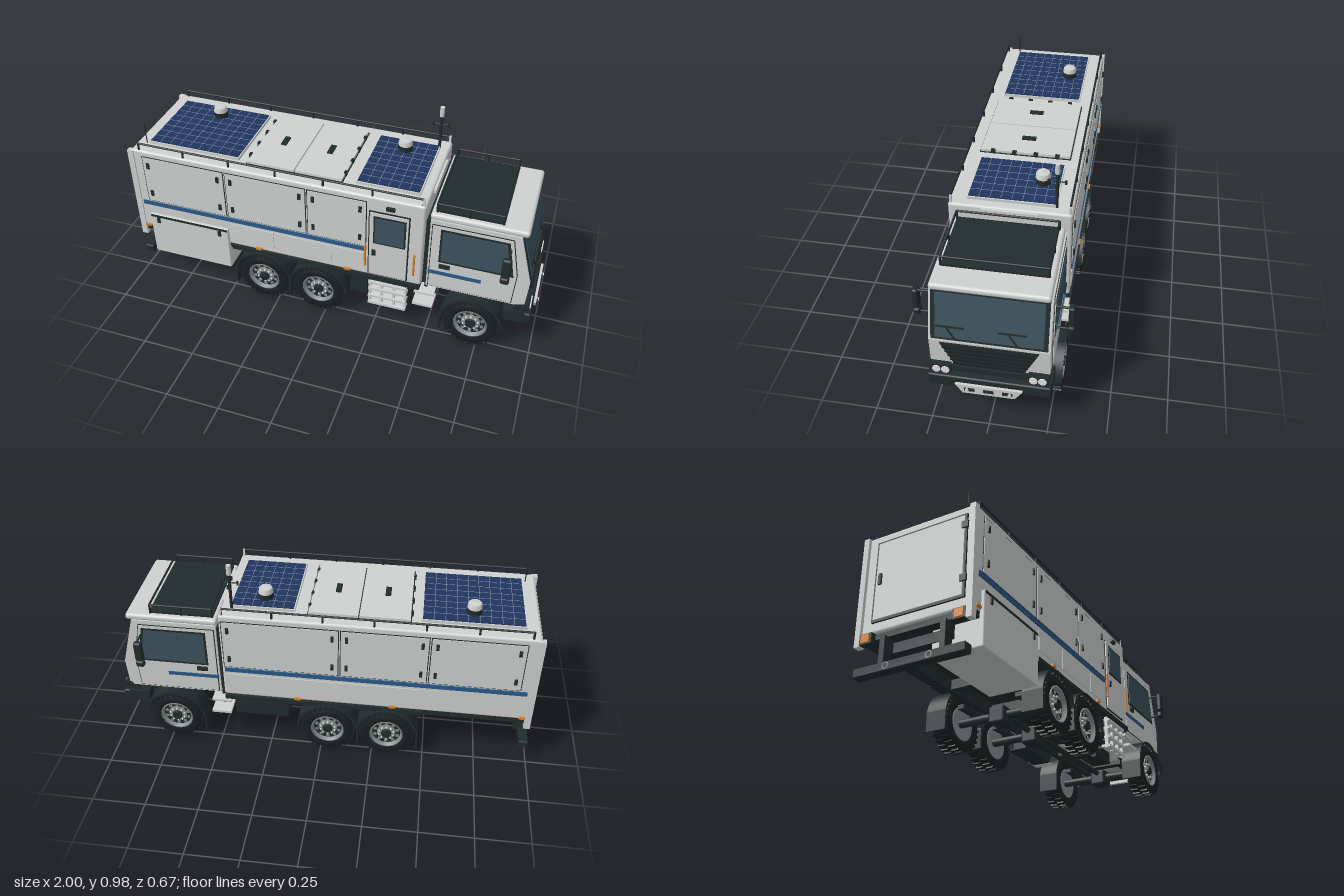
import * as THREE from 'three';
import { mergeGeometries } from 'three/addons/utils/BufferGeometryUtils.js';
import { RoundedBoxGeometry } from 'three/addons/geometries/RoundedBoxGeometry.js';

const mat = (name, color) => Object.assign(new THREE.MeshStandardMaterial({ color }), { name });
const M = {
  paint: mat('light grey paint', 0xcfd1d1), dark: mat('dark trim', 0x222c2c), tyre: mat('tyre rubber', 0x1a2020),
  stripe: mat('blue stripe', 0x2a5a88), solar: mat('solar cell blue', 0x20345f), line: mat('cell line grey', 0x8b95a8),
  glass: mat('tinted glass', 0x3c525e), metal: mat('wheel metal', 0x858c8c), amber: mat('amber', 0xd9822b), lens: mat('lamp white', 0xeeeeee),
};

export function createModel() {
  const root = new THREE.Group();
  root.name = 'expeditionTruck';
  const add = (name, geo, m, parent = root) => {
    const mesh = new THREE.Mesh(geo, m);
    mesh.name = name;
    parent.add(mesh);
    return mesh;
  };
  // boxes are given by their limits on each axis
  const boxGeo = (x0, x1, y0, y1, z0, z1) =>
    new THREE.BoxGeometry(x1 - x0, y1 - y0, z1 - z0).translate((x0 + x1) / 2, (y0 + y1) / 2, (z0 + z1) / 2);
  const box = (name, m, x0, x1, y0, y1, z0, z1, p) => add(name, boxGeo(x0, x1, y0, y1, z0, z1), m, p);
  const rbox = (name, m, x0, x1, y0, y1, z0, z1, r) => add(name, new RoundedBoxGeometry(x1 - x0, y1 - y0, z1 - z0, 2, r)
    .translate((x0 + x1) / 2, (y0 + y1) / 2, (z0 + z1) / 2), m);
  const sideBox = (name, m, s, x0, x1, y0, y1, z0, z1) =>
    box(name, m, x0, x1, y0, y1, Math.min(s * z0, s * z1), Math.max(s * z0, s * z1));
  const rod = (name, m, a, b, r) => {
    const A = new THREE.Vector3(...a), d = new THREE.Vector3(...b).sub(A), l = d.length();
    const mesh = add(name, new THREE.CylinderGeometry(r, r, l, 10), m);
    mesh.quaternion.setFromUnitVectors(new THREE.Vector3(0, 1, 0), d.divideScalar(l));
    mesh.position.copy(A).addScaledVector(d, l / 2);
    return mesh;
  };
  const plate = (pts, z0, z1) => new THREE.ExtrudeGeometry(new THREE.Shape(pts.map(p => new THREE.Vector2(...p))),
    { depth: z1 - z0, bevelEnabled: false }).translate(0, 0, z0);

  // living box
  rbox('livingBox', M.paint, -0.97, 0.465, 0.29, 0.75, -0.27, 0.27, 0.012);
  box('boxFloor', M.dark, -0.96, 0.46, 0.265, 0.292, -0.265, 0.265);
  box('cabGap', M.dark, 0.46, 0.49, 0.3, 0.66, -0.24, 0.24);
  box('rearDoorSeal', M.dark, -0.978, -0.968, 0.335, 0.71, -0.205, 0.235);
  box('rearDoor', M.paint, -0.982, -0.97, 0.345, 0.7, -0.195, 0.225);
  box('rearDoorHandle', M.dark, -0.99, -0.98, 0.5, 0.55, -0.18, -0.165);
  for (const y of [0.4, 0.64]) box('rearDoorHinge', M.dark, -0.988, -0.98, y, y + 0.03, 0.215, 0.245);
  for (const s of [1, -1]) {
    sideBox('rearPost', M.paint, s, -0.985, -0.955, 0.24, 0.745, 0.25, 0.276);
    sideBox('tailLamp', M.dark, s, -0.985, -0.96, 0.245, 0.29, 0.19, 0.25);
    sideBox('tailLampLens', M.amber, s, -0.99, -0.984, 0.25, 0.285, 0.2, 0.24);
    // upper and lower lockers with a dark seam behind each
    const end = s > 0 ? 0.2 : 0.455;
    const locker = (x0, x1, y0, y1) => {
      sideBox('lockerSeam', M.dark, s, x0, x1, y0, y1, 0.269, 0.2715);
      sideBox('lockerDoor', M.paint, s, x0 + 0.004, x1 - 0.004, y0 + 0.004, y1 - 0.004, 0.27, 0.274);
    };
    for (const [x0, x1] of [[-0.915, -0.495], [-0.49, -0.09], [-0.085, end]]) {
      locker(x0, x1, 0.462, 0.722);
      for (const x of [x0 + 0.03, x1 - 0.03]) for (const y of [0.5, 0.66])
        sideBox('lockerLatch', M.dark, s, x - 0.007, x + 0.007, y, y + 0.03, 0.272, 0.281);
    }
    for (const [x0, x1] of [[-0.47, -0.26], [-0.255, 0.03], [0.035, end - 0.01]])
      sideBox('lowerPanel', M.paint, s, x0, x1, 0.325, 0.42, 0.269, 0.274);
    sideBox('bodyStripe', M.stripe, s, -0.945, end - 0.005, 0.436, 0.457, 0.27, 0.276);
    sideBox('sideSill', M.dark, s, -0.48, 0.46, 0.268, 0.29, 0.25, 0.278);
    for (const x of [-0.94, -0.34, 0.11]) sideBox('sideMarker', M.amber, s, x - 0.015, x + 0.015, 0.297, 0.308, 0.27, 0.28);
    // roof rail
    rod('roofRail', M.dark, [-0.93, 0.783, s * 0.258], [0.45, 0.783, s * 0.258], 0.005);
    for (let i = 0; i < 7; i++) rod('roofRailPost', M.dark, [-0.93 + i * 0.23, 0.74, s * 0.258], [-0.93 + i * 0.23, 0.783, s * 0.258], 0.005);
    box('roofRailEnd', M.paint, 0.447, 0.458, 0.72, 0.786, s * 0.258 - 0.005, s * 0.258 + 0.005);
  }

  // lower storage box on the door side
  rbox('storageBox', M.paint, -0.915, -0.495, 0.145, 0.385, 0.05, 0.285, 0.006);
  box('storageBoxSeam', M.dark, -0.91, -0.5, 0.372, 0.383, 0.28, 0.287);
  for (const x of [-0.87, -0.54]) box('storageLatch', M.dark, x - 0.008, x + 0.008, 0.34, 0.37, 0.283, 0.291);

  // entry door and its ladder
  box('entryDoorSeam', M.dark, 0.21, 0.4, 0.305, 0.677, 0.268, 0.274);
  box('entryDoor', M.paint, 0.216, 0.394, 0.311, 0.671, 0.27, 0.279);
  box('entryWindowFrame', M.dark, 0.235, 0.385, 0.5, 0.655, 0.275, 0.282);
  box('entryWindow', M.glass, 0.243, 0.377, 0.508, 0.647, 0.277, 0.285);
  box('entryDoorLatch', M.dark, 0.23, 0.248, 0.43, 0.46, 0.275, 0.287);
  box('entryLamp', M.dark, 0.29, 0.33, 0.7, 0.715, 0.268, 0.285);
  for (const x of [0.2, 0.43]) rod('grabHandle', M.amber, [x, 0.36, 0.285], [x, 0.48, 0.285], 0.005);
  for (const x of [0.222, 0.28, 0.34, 0.395]) box('ladderUpright', M.paint, x - 0.006, x + 0.006, 0.11, 0.265, 0.255, 0.27);
  for (const y of [0.12, 0.165, 0.21, 0.25]) box('ladderTread', M.paint, 0.216, 0.401, y - 0.006, y + 0.006, 0.235, 0.28);

  // roof equipment: solar panels, hatches, domes, mast, aerial
  for (const [x0, x1, nx] of [[-0.9, -0.45, 9], [0.13, 0.415, 6]]) {
    box('solarFrame', M.paint, x0 - 0.006, x1 + 0.006, 0.748, 0.763, -0.196, 0.196);
    box('solarPanel', M.solar, x0, x1, 0.755, 0.767, -0.19, 0.19);
    for (let i = 1; i < nx; i++) { const x = x0 + (x1 - x0) * i / nx; box('cellLine', M.line, x - 0.001, x + 0.001, 0.766, 0.768, -0.19, 0.19); }
    for (let i = 1; i < 8; i++) { const z = -0.19 + 0.38 * i / 8; box('cellLine', M.line, x0, x1, 0.766, 0.768, z - 0.001, z + 0.001); }
  }
  box('hatchSeam', M.dark, -0.402, 0.067, 0.748, 0.753, -0.213, 0.213);
  for (const [x0, x1, hx] of [[-0.397, -0.168, -0.285], [-0.163, 0.062, -0.055]]) {
    box('roofHatch', M.paint, x0, x1, 0.75, 0.765, -0.208, 0.208);
    box('hatchHandle', M.dark, hx - 0.013, hx + 0.013, 0.762, 0.772, -0.033, 0.033);
  }
  for (const x of [-0.402, 0.062]) for (const z of [-0.15, -0.05, 0.05, 0.15]) box('hatchHinge', M.dark, x - 0.006, x + 0.006, 0.75, 0.77, z - 0.01, z + 0.01);
  for (const x of [-0.675, 0.27]) {
    add('domeBase', new THREE.CylinderGeometry(0.035, 0.035, 0.035, 24).translate(x, 0.777, -0.115), M.dark);
    const pts = [[0.034, 0], [0.031, 0.022], [0.027, 0.027], [0, 0.028]].map(p => new THREE.Vector2(...p));
    add('dome', new THREE.LatheGeometry(pts, 24).translate(x, 0.794, -0.115), M.paint);
  }
  rod('mast', M.dark, [0.415, 0.74, -0.195], [0.415, 0.93, -0.195], 0.007);
  rod('mastBar', M.dark, [0.415, 0.885, -0.235], [0.415, 0.885, -0.155], 0.003);
  rod('mastCrossBar', M.dark, [0.375, 0.885, -0.195], [0.455, 0.885, -0.195], 0.003);
  for (const d of [-0.036, 0.036]) {
    rod('mastSensor', M.dark, [0.415, 0.875, -0.195 + d], [0.415, 0.893, -0.195 + d], 0.005);
    rod('mastSensor', M.dark, [0.415 + d, 0.875, -0.195], [0.415 + d, 0.893, -0.195], 0.005);
  }
  rod('mastLamp', M.paint, [0.415, 0.927, -0.195], [0.415, 0.975, -0.195], 0.011);
  rod('aerial', M.dark, [-0.92, 0.74, 0.195], [-0.92, 0.86, 0.195], 0.0025);

  // cab shell
  add('cabShell', plate([[0.485, 0.285], [0.94, 0.285], [0.948, 0.43], [0.882, 0.675], [0.485, 0.675]], -0.25, 0.25), M.paint);
  rbox('cabRoof', M.paint, 0.48, 0.912, 0.67, 0.702, -0.245, 0.245, 0.014);
  const screen = new THREE.Group();
  screen.name = 'windscreen';
  screen.position.set(0.915, 0.5525, 0);
  screen.rotation.z = 0.263;
  root.add(screen);
  box('screenSeal', M.dark, -0.01, 0.004, -0.117, 0.115, -0.24, 0.24, screen);
  box('screenGlass', M.glass, -0.005, 0.008, -0.105, 0.1, -0.222, 0.222, screen);
  for (const z of [0.16, -0.095]) {
    box('wiperBlade', M.dark, 0.008, 0.014, -0.055, -0.049, z - 0.058, z + 0.058, screen);
    const arm = box('wiperArm', M.dark, 0.008, 0.013, -0.03, 0.03, -0.003, 0.003, screen);
    arm.position.set(0, -0.083, z - 0.005);
    arm.rotation.x = 0.65;
  }
  // grille, bumper and lamps
  const trapezoid = (y0, y1, w0, w1, x0, x1) => plate([[-w0, y0], [w0, y0], [w1, y1], [-w1, y1]], x0, x1).rotateY(Math.PI / 2);
  add('grille', trapezoid(0.3, 0.422, 0.145, 0.205, 0.935, 0.953), M.dark);
  for (let i = 0; i < 5; i++) { const w = 0.15 + i * 0.0105; box('grilleSlat', M.tyre, 0.95, 0.962, 0.314 + i * 0.022, 0.321 + i * 0.022, -w, w); }
  box('lowerFascia', M.dark, 0.9, 0.955, 0.262, 0.29, -0.2, 0.2);
  rbox('frontBumper', M.dark, 0.905, 0.978, 0.19, 0.25, -0.26, 0.26, 0.008);
  add('skidPlate', trapezoid(0.174, 0.221, 0.11, 0.142, 0.97, 0.99), M.paint);
  for (const z of [-0.08, 0, 0.08]) box('skidSlot', M.dark, 0.988, 0.995, 0.193, 0.207, z - 0.022, z + 0.022);
  for (const s of [1, -1]) {
    sideBox('lampHousing', M.dark, s, 0.9, 0.965, 0.255, 0.3, 0.162, 0.25);
    for (const z of [0.184, 0.222]) rod('headlamp', M.lens, [0.96, 0.278, s * z], [0.97, 0.278, s * z], 0.018);
    sideBox('bumperCorner', M.dark, s, 0.85, 0.95, 0.19, 0.25, 0.2, 0.26);
    rod('towHook', M.paint, [0.97, 0.2, s * 0.09], [1.0, 0.2, s * 0.09], 0.008);
    // cab doors
    const cabPlate = (name, m, pts, out) => add(name, plate(pts, s > 0 ? 0.245 : -out, s > 0 ? out : -0.245), m);
    cabPlate('cabDoorSeam', M.dark, [[0.493, 0.292], [0.882, 0.292], [0.89, 0.46], [0.853, 0.655], [0.493, 0.655]], 0.252);
    cabPlate('cabDoor', M.paint, [[0.497, 0.296], [0.878, 0.296], [0.886, 0.46], [0.85, 0.651], [0.497, 0.651]], 0.255);
    cabPlate('cabWindowSeal', M.dark, [[0.535, 0.448], [0.873, 0.448], [0.838, 0.637], [0.535, 0.637]], 0.257);
    cabPlate('cabWindow', M.glass, [[0.545, 0.46], [0.856, 0.46], [0.828, 0.627], [0.545, 0.627]], 0.26);
    sideBox('cabStripe', M.stripe, s, 0.49, 0.735, 0.373, 0.392, 0.25, 0.258);
    sideBox('cabDoorHandle', M.dark, s, 0.54, 0.59, 0.417, 0.437, 0.25, 0.264);
    // mirrors
    rbox('mirror', M.dark, 0.82, 0.86, 0.503, 0.603, ...(s > 0 ? [0.306, 0.334] : [-0.334, -0.306]), 0.01);
    rbox('wideMirror', M.dark, 0.82, 0.86, 0.465, 0.497, ...(s > 0 ? [0.304, 0.334] : [-0.334, -0.304]), 0.01);
    for (const y of [0.597, 0.48]) rod('mirrorArm', M.dark, [0.845, y, s * 0.24], [0.845, y, s * 0.32], 0.005);
    // cab steps
    for (const [y, z] of [[0.245, 0.27], [0.19, 0.29]]) sideBox('cabStep', M.paint, s, 0.435, 0.53, y - 0.006, y + 0.006, 0.2, z);
    sideBox('stepBracket', M.dark, s, 0.475, 0.49, 0.185, 0.29, 0.2, 0.225);
  }
  // cab roof rack
  box('rackDeck', M.dark, 0.5, 0.8, 0.7, 0.712, -0.22, 0.22);
  for (const x of [0.505, 0.795]) rod('rackRail', M.dark, [x, 0.747, -0.22], [x, 0.747, 0.22], 0.005);
  for (const z of [-0.22, 0.22]) {
    rod('rackRail', M.dark, [0.505, 0.747, z], [0.795, 0.747, z], 0.005);
    for (const x of [0.505, 0.65, 0.795]) rod('rackPost', M.dark, [x, 0.7, z], [x, 0.747, z], 0.005);
  }
  box('lightBar', M.paint, 0.462, 0.475, 0.728, 0.742, -0.125, 0.125);

  // chassis and drive line
  for (const s of [1, -1]) {
    sideBox('chassisRail', M.dark, s, -0.93, 0.91, 0.205, 0.268, 0.13, 0.155);
    sideBox('bumperHanger', M.dark, s, -0.975, -0.93, 0.12, 0.268, 0.13, 0.155);
  }
  for (const x of [-0.9, -0.5, -0.17, 0.2, 0.5]) box('crossMember', M.dark, x - 0.02, x + 0.02, 0.21, 0.255, -0.15, 0.15);
  box('gearbox', M.dark, 0.4, 0.62, 0.17, 0.28, 0, 0.1);
  box('doorSideTank', M.dark, 0.12, 0.205, 0.15, 0.27, 0.15, 0.255);
  box('fuelTank', M.dark, 0.16, 0.42, 0.16, 0.268, -0.25, -0.15);
  rod('driveShaft', M.dark, [-0.32, 0.145, 0], [0.715, 0.15, 0], 0.014);
  rod('exhaust', M.metal, [0.42, 0.16, 0.1], [0.1, 0.16, 0.1], 0.012);
  rbox('rearBumper', M.dark, -0.995, -0.95, 0.1, 0.14, -0.26, 0.26, 0.006);
  for (const z of [-0.1, 0.1]) add('towRing', new THREE.TorusGeometry(0.013, 0.004, 8, 16).rotateY(Math.PI / 2).translate(-0.994, 0.12, z), M.metal);

  // one wheel, outer face towards +z
  const lathe = pts => new THREE.LatheGeometry(pts.map(p => new THREE.Vector2(...p)), 40).rotateX(Math.PI / 2);
  const tyre = [lathe([[0.078, -0.04], [0.095, -0.045], [0.118, -0.042], [0.125, -0.034], [0.125, 0.034], [0.118, 0.042], [0.095, 0.045], [0.078, 0.04]])];
  for (let i = 0; i < 28; i++) for (const d of [-1, 1])
    tyre.push(new THREE.BoxGeometry(0.01, 0.016, 0.036).translate(0, 0.124, d * 0.023).rotateZ((i + d * 0.25) * Math.PI / 14));
  const tyreGeo = mergeGeometries(tyre);
  const rimGeo = lathe([[0, -0.02], [0.072, -0.04], [0.08, -0.04], [0.08, 0.043], [0.073, 0.043], [0.068, 0.02], [0.045, 0.024], [0.036, 0.032], [0, 0.032]]);
  const ring = (n, r, size, z, h) => mergeGeometries(Array.from({ length: n }, (_, i) =>
    new THREE.CylinderGeometry(size, size, h, 8).rotateX(Math.PI / 2).translate(0, r, z).rotateZ(i * 2 * Math.PI / n)));
  const holes = ring(10, 0.056, 0.009, 0.022, 0.006), bolts = ring(10, 0.036, 0.004, 0.031, 0.012);
  const hub = new THREE.CylinderGeometry(0.022, 0.026, 0.018, 20).rotateX(Math.PI / 2).translate(0, 0, 0.036);
  const well = new THREE.RingGeometry(0.046, 0.068, 32).translate(0, 0, 0.0245);
  // arched mudguard
  const guard = new THREE.Shape();
  guard.absarc(0, 0, 0.15, 0.1, Math.PI - 0.1, false);
  guard.absarc(0, 0, 0.14, Math.PI - 0.1, 0.1, true);
  const guardGeo = new THREE.ExtrudeGeometry(guard, { depth: 0.1, bevelEnabled: false, curveSegments: 20 }).translate(0, 0, -0.05);
  for (const x of [-0.32, -0.035, 0.715]) {
    rod('axle', M.dark, [x, 0.133, -0.21], [x, 0.133, 0.21], 0.02);
    rbox('differential', M.dark, x - 0.045, x + 0.045, 0.088, 0.168, -0.04, 0.04, 0.012);
    for (const s of [1, -1]) {
      const wheel = new THREE.Group();
      wheel.name = 'wheel';
      wheel.position.set(x, 0.132, s * 0.242);
      if (s < 0) wheel.rotation.y = Math.PI;
      root.add(wheel);
      add('tyre', tyreGeo, M.tyre, wheel);
      add('rim', rimGeo, M.metal, wheel);
      add('rimWell', well, M.dark, wheel);
      add('rimBolts', bolts, M.lens, wheel);
      add('rimHoles', holes.clone().translate(0, 0, 0.002), M.metal, wheel);
      add('hub', hub, M.dark, wheel);
      add('mudguard', guardGeo, M.dark).position.set(x, 0.132, s * 0.24);
      sideBox('mudFlap', M.dark, s, x - 0.15, x - 0.142, 0.06, 0.15, 0.19, 0.29);
      sideBox('springMount', M.dark, s, x - 0.1, x + 0.1, 0.16, 0.18, 0.13, 0.16);
      sideBox('guardBracket', M.dark, s, x - 0.03, x + 0.03, 0.255, 0.285, 0.13, 0.28);
    }
  }
  return root;
}
